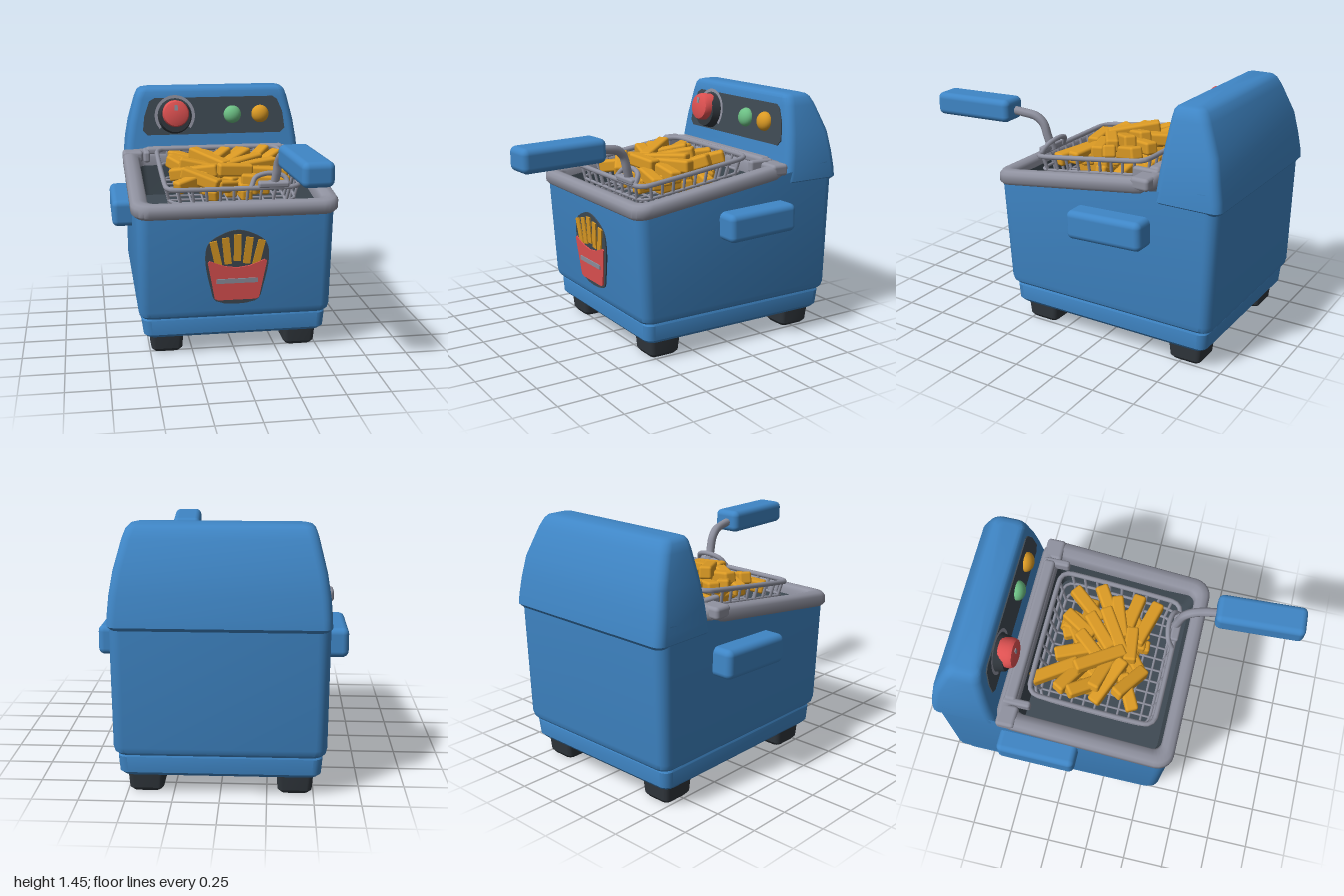
import * as THREE from 'three';
import { toCreasedNormals } from 'three/addons/utils/BufferGeometryUtils.js';
import { RoundedBoxGeometry } from 'three/addons/geometries/RoundedBoxGeometry.js';

const material = (name, color) => Object.assign(new THREE.MeshStandardMaterial({ color }), { name });
const SLOPE = 0.135, MID_Z = -0.085; // the fryer top rises towards the back
const V = (x, y, z) => new THREE.Vector3(x, y, z);

// Rounded rectangle in the xz plane; slope shears its height along z
function ring([y, hx, zf, zb, r], slope = 0, cx = 0, steps = 5) {
  const pts = [];
  for (let c = 0; c < 4; c++) {
    const sx = c === 0 || c === 3 ? 1 : -1;
    for (let s = 0; s <= steps; s++) {
      const a = (c + s / steps) * Math.PI / 2;
      const z = (c < 2 ? zf - r : zb + r) + r * Math.sin(a);
      pts.push(V(cx + sx * (hx - r) + r * Math.cos(a), y - slope * (z - MID_Z), z));
    }
  }
  return pts;
}

// Skin through a list of rings, with optional end caps
function loft(rings, capStart = true, capEnd = true, crease = 0.55) {
  const n = rings[0].length, pos = [], idx = [];
  rings.forEach(r => r.forEach(p => pos.push(p.x, p.y, p.z)));
  for (let k = 0; k < rings.length - 1; k++)
    for (let i = 0; i < n; i++) {
      const j = (i + 1) % n, a = k * n + i, b = k * n + j;
      idx.push(a, a + n, b, a + n, b + n, b);
    }
  const cap = (r, base, up) => {
    const c = r.reduce((s, p) => s.add(p), V(0, 0, 0)).divideScalar(n);
    const m = pos.push(c.x, c.y, c.z) / 3 - 1;
    for (let i = 0; i < n; i++) {
      const j = (i + 1) % n;
      idx.push(m, base + (up ? j : i), base + (up ? i : j));
    }
  };
  if (capStart) cap(rings[0], 0, false);
  if (capEnd) cap(rings.at(-1), (rings.length - 1) * n, true);
  const g = new THREE.BufferGeometry();
  g.setAttribute('position', new THREE.Float32BufferAttribute(pos, 3));
  g.setIndex(idx);
  return toCreasedNormals(g, crease);
}

export function createModel() {
  const model = new THREE.Group();
  model.name = 'deepFryer';
  const blue = material('blue enamel', 0x3f86c6), grey = material('grey metal', 0x9092a0);
  const dark = material('dark panel', 0x3f4a53), black = material('black rubber', 0x30363c);
  const gold = material('golden fries', 0xdb9a24), red = material('red', 0xe05252);
  const green = material('green', 0x6cbf84);

  const add = (name, geo, mat, p = [0, 0, 0], rot = [0, 0, 0], parent = model) => {
    const m = new THREE.Mesh(geo, mat);
    m.name = name;
    m.position.set(...p);
    m.rotation.set(...rot);
    parent.add(m);
    return m;
  };
  const group = (name, p, rot = [0, 0, 0]) => {
    const g = new THREE.Group();
    g.name = name;
    g.position.set(...p);
    g.rotation.set(...rot);
    model.add(g);
    return g;
  };
  const box = (w, h, d, r) => new RoundedBoxGeometry(w, h, d, 3, r);
  const rod = (name, a, b, r, mat) => {
    const m = add(name, new THREE.CylinderGeometry(r, r, a.distanceTo(b), 6), mat);
    m.position.copy(a).lerp(b, 0.5);
    m.quaternion.setFromUnitVectors(V(0, 1, 0), b.clone().sub(a).normalize());
  };
  const tube = (name, pts, r, mat, closed = false) =>
    add(name, new THREE.TubeGeometry(new THREE.CatmullRomCurve3(pts, closed), closed ? 96 : 28, r, 8, closed), mat);

  // Feet
  for (const x of [-0.4, 0.4]) for (const z of [0.18, -0.775])
    add('foot', loft([[0, 0.075, z + 0.08, z - 0.08, 0.03], [0.02, 0.092, z + 0.095, z - 0.095, 0.03],
      [0.13, 0.1, z + 0.105, z - 0.105, 0.03]].map(r => ring(r, 0, x))), black);

  // Plinth, tapered body and sloping rim
  add('plinth', loft([[0.11, 0.52, 0.31, -0.9, 0.05], [0.13, 0.538, 0.33, -0.918, 0.05],
    [0.22, 0.545, 0.335, -0.925, 0.05], [0.25, 0.53, 0.32, -0.91, 0.05]].map(r => ring(r))), blue);
  add('body', loft([ring([0.235, 0.545, 0.345, -0.935, 0.06]), ring([0.25, 0.56, 0.358, -0.947, 0.06]),
    ring([0.28, 0.567, 0.365, -0.953, 0.06]), ring([0.93, 0.572, 0.41, -0.975, 0.07], SLOPE)], true, false), blue);
  const rimRings = [[0.915, 0.58, 0.41, -0.58, 0.08], [0.935, 0.6, 0.43, -0.6, 0.1], [0.98, 0.6, 0.43, -0.6, 0.1],
    [0.998, 0.585, 0.415, -0.585, 0.09], [1.002, 0.55, 0.385, -0.55, 0.07], [0.99, 0.51, 0.355, -0.51, 0.05],
    [0.97, 0.5, 0.345, -0.5, 0.05], [0.915, 0.5, 0.345, -0.5, 0.05], [0.915, 0.58, 0.41, -0.58, 0.08]];
  add('rim', loft(rimRings.map(r => ring(r, SLOPE)), false, false, 0.9), grey);
  add('oilWell', loft([ring([0.96, 0.505, 0.35, -0.505, 0.05], SLOPE), ring([0.78, 0.48, 0.32, -0.48, 0.05])], false, true), dark);

  // Rear support bar and corner lugs
  add('rearBar', box(0.9, 0.05, 0.07, 0.02), grey, [0, 1.06, -0.54]);
  for (const s of [-1, 1]) {
    add('rearHook', box(0.04, 0.07, 0.16, 0.015), grey, [s * 0.45, 1.04, -0.5]);
    add('rimLug', box(0.13, 0.07, 0.11, 0.02), grey, [s * 0.535, 1.03, -0.535]);
    add('sideHandle', box(0.16, 0.165, 0.465, 0.035), blue, [s * 0.61, 0.757, -0.36], [0.035, 0, 0]);
  }

  // Rear control hood
  add('hood', loft([[0.925, 0.56, -0.6, -0.975, 0.05], [0.945, 0.577, -0.6, -0.992, 0.05], [1.0, 0.575, -0.609, -0.986, 0.05],
    [1.1, 0.566, -0.62, -0.968, 0.05], [1.22, 0.546, -0.633, -0.944, 0.05], [1.38, 0.505, -0.651, -0.875, 0.05],
    [1.425, 0.488, -0.657, -0.85, 0.05], [1.442, 0.47, -0.67, -0.83, 0.04], [1.45, 0.44, -0.69, -0.8, 0.03]]
    .map(r => ring(r))), blue);

  // Control panel with dial and buttons
  const panel = group('controlPanel', [0, 1.265, -0.638], [-0.11, 0, 0]);
  const plate = (name, pts, mat, z, parent, smooth = false) => {
    const v = pts.map(([x, y]) => new THREE.Vector2(x, y));
    const shape = smooth ? new THREE.Shape(new THREE.CatmullRomCurve3(
      v.map(p => V(p.x, p.y, 0)), true).getPoints(48).map(p => new THREE.Vector2(p.x, p.y))) : new THREE.Shape(v);
    return add(name, new THREE.ExtrudeGeometry(shape, { depth: 0.008, bevelEnabled: false }), mat, [0, 0, z], [0, 0, 0], parent);
  };
  plate('panelPlate', [[-0.43, -0.12], [0.45, -0.12], [0.48, -0.09], [0.465, 0.02], [0.43, 0.1], [0.4, 0.12],
    [-0.38, 0.12], [-0.415, 0.1], [-0.45, 0], [-0.46, -0.09]], dark, -0.001, panel);
  add('dialScale', new THREE.RingGeometry(0.112, 0.132, 40, 1, -0.7, Math.PI + 1.4), grey, [-0.25, 0.005, 0.01], [0, 0, 0], panel);
  const quarter = [Math.PI / 2, 0, 0];
  add('dialBase', new THREE.CylinderGeometry(0.098, 0.112, 0.06, 32), black, [-0.25, -0.003, 0.03], quarter, panel);
  const knob = [[0, 0], [0.085, 0], [0.086, 0.06], [0.078, 0.08], [0.055, 0.088], [0, 0.09]].map(p => new THREE.Vector2(...p));
  add('dialKnob', toCreasedNormals(new THREE.LatheGeometry(knob, 32), 0.6), red, [-0.25, 0.02, 0.025], quarter, panel);
  add('dialPointer', new THREE.BoxGeometry(0.02, 0.035, 0.008), grey, [-0.25, 0.06, 0.114], [0, 0, 0], panel);
  for (const [name, x, mat] of [['greenButton', 0.13, green], ['amberButton', 0.315, gold]])
    add(name, new THREE.SphereGeometry(0.058, 24, 16), mat, [x, 0.005, 0.01], [0, 0, 0], panel).scale.z = 0.75;

  // Front emblem: a carton of fries made of thin plates
  const emblem = group('frontEmblem', [0, 0.55, 0.386], [0.077, 0, 0]);
  plate('emblemBacking', [[-0.12, -0.21], [0.12, -0.21], [0.155, -0.12], [0.185, 0.06], [0.165, 0.15], [0.07, 0.21],
    [0, 0.225], [-0.07, 0.21], [-0.165, 0.15], [-0.185, 0.06], [-0.155, -0.12]], dark, -0.001, emblem, true);
  for (let i = -2; i <= 2; i++)
    add('emblemFry', new THREE.BoxGeometry(0.042, 0.16, 0.009), gold,
      [i * 0.062, 0.12 - Math.abs(i) * 0.018, 0.011], [0, 0, -i * 0.11], emblem);
  plate('emblemCarton', [[-0.13, -0.19], [-0.11, -0.2], [0.11, -0.2], [0.13, -0.19], [0.172, 0.035], [0.16, 0.045],
    [0.07, 0.01], [0, 0], [-0.07, 0.01], [-0.16, 0.045], [-0.172, 0.035]], red, 0.012, emblem);
  add('emblemStripe', new THREE.BoxGeometry(0.24, 0.028, 0.008), grey, [0, -0.08, 0.021], [0, 0, 0], emblem);

  // Wire basket
  const wireRing = t => ring([1.035 - 0.17 * t, 0.39 - 0.04 * t, 0.28 - 0.04 * t, -0.45 + 0.04 * t, 0.06], SLOPE);
  [0, 0.5, 1].forEach(t => tube('basketHoop', wireRing(t), t ? 0.009 : 0.015, grey, true));
  const wireAt = (x, z, t) => {
    const k = 1 - 0.1 * t, zz = MID_Z + z * 0.365 * k;
    return V(x * 0.39 * k, 1.035 - 0.17 * t - SLOPE * (zz - MID_Z), zz);
  };
  for (let i = -4; i <= 4; i++) for (const s of [-1, 1]) {
    const u = i / 4.8;
    rod('basketWire', wireAt(u, s, 0), wireAt(u, s, 1), 0.009, grey);
    rod('basketWire', wireAt(s, u, 0), wireAt(s, u, 1), 0.009, grey);
    if (s > 0) {
      rod('basketFloorWire', wireAt(u, -1, 1), wireAt(u, 1, 1), 0.007, grey);
      rod('basketFloorWire', wireAt(-1, u, 1), wireAt(1, u, 1), 0.007, grey);
    }
  }

  // Basket handle: bracket, bent stem and grip
  tube('handleBracket', [V(0.1, 0.99, 0.28), V(0.13, 1.04, 0.25), V(0.22, 1.06, 0.235), V(0.3, 1.04, 0.25),
    V(0.32, 0.99, 0.28)], 0.015, grey);
  add('handleFoot', box(0.18, 0.035, 0.05, 0.012), grey, [0.23, 1.005, 0.28], [SLOPE, 0, 0]);
  tube('handleStem', [V(0.235, 0.99, 0.265), V(0.245, 1.07, 0.29), V(0.25, 1.145, 0.315), V(0.26, 1.185, 0.36),
    V(0.275, 1.2, 0.43), V(0.285, 1.21, 0.52)], 0.026, grey);
  add('handleGrip', box(0.175, 0.135, 0.51, 0.035), blue, [0.307, 1.21, 0.742], [0.015, 0.06, 0]);

  // Fries: each runs from an inner low end to an outer high end
  const fry = (a, b, w = 0.074) => {
    const m = add('fry', box(w, w, a.distanceTo(b) + 0.05, 0.015), gold);
    m.position.copy(a).lerp(b, 0.5);
    m.lookAt(b);
  };
  const heap = [ // x, z, y of both ends
    [-0.14, -0.24, 1.03, -0.28, -0.44, 1.04], [-0.14, -0.2, 1.02, -0.3, -0.29, 1.05], [-0.18, -0.05, 1.0, -0.31, -0.22, 1.05],
    [-0.04, -0.18, 1.06, -0.11, -0.34, 1.06], [-0.08, 0.02, 1.04, -0.31, -0.08, 1.0], [-0.15, 0.05, 1.0, -0.3, 0.13, 0.97],
    [-0.25, 0.04, 1.03, -0.09, 0.14, 0.98], [-0.04, 0.06, 1.05, 0.12, 0.04, 1.04], [0.1, 0.08, 0.99, 0.33, 0.14, 0.98],
    [0.13, 0, 1.02, 0.34, 0.03, 1.01], [0.05, -0.2, 1.05, 0.13, -0.34, 1.07], [0.17, -0.18, 1.03, 0.28, -0.33, 1.08],
    [0.2, -0.1, 1.02, 0.33, -0.19, 1.08], [0.01, -0.08, 1.05, 0.14, -0.21, 1.09], [0, 0, 1.05, 0.2, -0.13, 1.07],
    [-0.02, 0, 1.06, -0.17, -0.21, 1.1], [-0.09, -0.1, 1.05, 0.02, -0.24, 1.09], [-0.03, -0.04, 1.02, -0.25, -0.1, 1.06],
    [0.1, -0.02, 1.04, 0.29, -0.09, 1.05]];
  heap.forEach(([x, z, y, X, Z, Y]) => fry(V(x, y, z), V(X, Y, Z)));
  // Lower layer of fries
  let seed = 7;
  const rnd = () => (seed = (seed * 16807) % 2147483647) / 2147483647;
  for (let i = 0; i < 26; i++) {
    const c = V((rnd() - 0.5) * 0.48, 0.9 + rnd() * 0.07, -0.1 + (rnd() - 0.5) * 0.38), a = rnd() * 6.28;
    const d = V(Math.cos(a) * 0.08, (rnd() - 0.5) * 0.05, Math.sin(a) * 0.08);
    fry(c.clone().sub(d), c.clone().add(d), 0.07);
  }
  return model;
}
